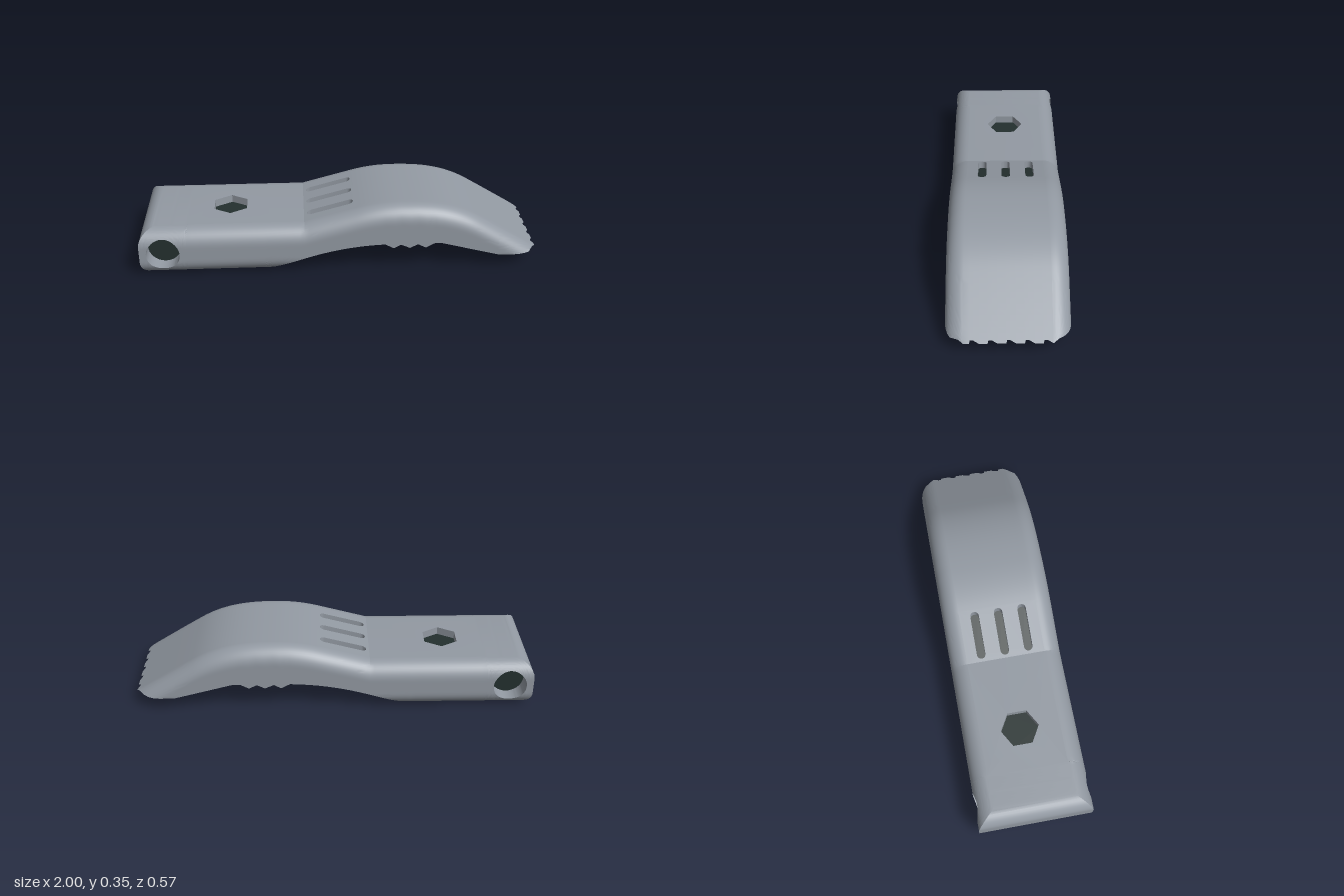
import * as THREE from 'three';
import { toCreasedNormals } from 'three/addons/utils/BufferGeometryUtils.js';

const FLAT = 0.2, R = 0.085;            // half width of the flat top, edge rounding
const X0 = -0.76, BEND = -0.18, RAMP = 0.08, H = 0.248;
const TIP = 0.072, SLOPE = 0.617;
const HOLE = new THREE.Vector2(-0.883, 0.124), HOLE_R = 0.083;

// Piecewise linear lookup in [x, y] pairs
function lookup(table, x) {
  for (let i = 1; i < table.length; i++) {
    const [a, ya] = table[i - 1], [b, yb] = table[i];
    if (x <= b) return ya + (yb - ya) * Math.max(0, (x - a) / (b - a));
  }
  return table[table.length - 1][1];
}

// Top line: flat handle, straight ramp, then a smooth hump down to the tip
const hump = [[RAMP, 0.319, 0.273], [0.3, 0.348, 0], [0.7, 0.257, -0.6], [1, TIP, -SLOPE]];
function topY(x) {
  if (x <= BEND) return H;
  if (x <= RAMP) return H + (x - BEND) * (0.319 - H) / (RAMP - BEND);
  const i = x <= 0.3 ? 0 : x <= 0.7 ? 1 : 2;
  const [a, p, m] = hump[i], [b, q, n] = hump[i + 1];
  const d = b - a, t = (x - a) / d, t2 = t * t, t3 = t2 * t;
  return p * (2 * t3 - 3 * t2 + 1) + q * (3 * t2 - 2 * t3) + d * (m * (t3 - 2 * t2 + t) + n * (t3 - t2));
}

// Underside: flat handle, scoop, cross teeth, slope to the flat tip
const teeth = [[0.22, 0.152], [0.265, 0.128], [0.3, 0.148], [0.345, 0.128], [0.385, 0.148],
  [0.425, 0.128], [0.47, 0.152], [0.51, 0.15], [0.79, TIP + 0.004], [0.8, TIP]];
function bottomY(x) {
  if (x <= -0.385) return 0;
  return x < 0.22 ? 0.152 - 0.377 * (0.25 - x) ** 2 : lookup(teeth, x);
}

// Saw grooves running along the underside of the tip
const grooves = [[-0.285, 0]];
for (let k = -3; k <= 3; k++) {
  const c = -0.0125 + 0.0825 * k;
  grooves.push([c - 0.022, 0], [c + 0.004, 0.008], [c + 0.018, 0.008], [c + 0.022, 0]);
}
grooves.push([0.285, 0]);
const zRow = grooves.map(g => g[0]);
const groove = (x, z) => (x < 0.795 ? 0 : lookup(grooves, z));

// Half width of the rounded bar at height y
function halfWidth(y, top) {
  const d = Math.min(R, Math.max(0, R - Math.min(y, top - y)));
  return FLAT + Math.sqrt(R * R - d * d);
}

const K = 24;
const sideYs = (b, t) => Array.from({ length: K + 1 }, (_, i) => b + (t - b) * (1 - Math.cos(Math.PI * i / K)) / 2);

// Triangle collector
function quad(out, a, b, c, d) {
  for (const [p, q, r] of [[a, b, c], [a, c, d]]) {
    if (p.distanceTo(q) < 1e-6 || q.distanceTo(r) < 1e-6 || r.distanceTo(p) < 1e-6) continue;
    for (const v of [p, q, r]) out.push(v.x, v.y, v.z);
  }
}
function toGeometry(out, crease) {
  const g = new THREE.BufferGeometry();
  g.setAttribute('position', new THREE.Float32BufferAttribute(out, 3));
  return toCreasedNormals(g, crease);
}
const V = (x, y, z) => new THREE.Vector3(x, y, z);

// One closed cross-section: underside, +z side, top, -z side
function section(x) {
  const T = topY(x), B = bottomY(x), end = x === 1, pts = [];
  const add = (y, z) => pts.push(end ? V(1 - groove(1, z) / SLOPE, TIP + groove(1, z), z) : V(x, y, z));
  const edge = s => {
    const y = Math.min(T, B + groove(x, s * halfWidth(B, T)));
    return { y, w: halfWidth(y, T) };
  };
  const L = edge(-1), P = edge(1);
  for (const z of zRow) {
    const c = Math.min(P.w, Math.max(-L.w, z));
    const y = c === P.w ? P.y : c === -L.w ? L.y : Math.min(T, B + groove(x, c));
    add(y, c);
  }
  for (const y of sideYs(P.y, T)) add(y, halfWidth(y, T));
  for (const z of [...zRow].reverse()) add(T, Math.min(FLAT, Math.max(-FLAT, z)));
  for (const y of sideYs(L.y, T).reverse()) add(y, -halfWidth(y, T));
  return pts;
}

function buildBar(out) {
  const breaks = [X0, -0.385, BEND, RAMP, ...teeth.map(t => t[0]), 0.982].sort((a, b) => a - b);
  const xs = [X0];
  for (let i = 1; i < breaks.length; i++) {
    const a = breaks[i - 1], b = breaks[i], n = Math.ceil((b - a) / 0.025 - 1e-6);
    for (let k = 1; k <= n; k++) xs.push(k === n ? b : a + (b - a) * k / n);
  }
  xs.push(1);
  const rings = xs.map(section), n = rings[0].length;
  const topStart = zRow.length + K + 1, topEnd = topStart + zRow.length - 1;
  for (let i = 0; i + 1 < rings.length; i++) {
    for (let j = 0; j < n; j++) {
      // The pierced top panels replace this stretch
      if (xs[i + 1] <= RAMP && j >= topStart && j < topEnd) continue;
      const k = (j + 1) % n;
      quad(out, rings[i][j], rings[i + 1][j], rings[i + 1][k], rings[i][k]);
    }
  }
}

// Rounded butt end with the round hole in each side
function buildButt(out, walls) {
  const r = 0.08, line = sideYs(0, H).map(y => new THREE.Vector2(X0, y));
  const corner = line.length - 1;
  const arc = (cx, cy, a0) => {
    for (let i = 0; i <= 10; i++) {
      const a = a0 + Math.PI / 2 * i / 10;
      line.push(new THREE.Vector2(cx + r * Math.cos(a), cy + r * Math.sin(a)));
    }
  };
  for (let i = 1; i < 10; i++) line.push(new THREE.Vector2(X0 - 0.016 * i, H));
  arc(-1 + r, H - r, Math.PI / 2);
  for (let i = 1; i < 6; i++) line.push(new THREE.Vector2(-1, H - r - (H - 2 * r) * i / 6));
  arc(-1 + r, r, Math.PI);
  for (let i = 9; i > 0; i--) line.push(new THREE.Vector2(X0 - 0.016 * i, 0));
  const n = line.length, M = 14;
  const rim = line.map(p => p.clone().sub(HOLE).setLength(HOLE_R).add(HOLE));
  const at = (p, s) => V(p.x, p.y, s * halfWidth(p.y, H));
  for (let j = 0; j < n; j++) {
    const k = (j + 1) % n;
    if (j >= corner) quad(out, at(line[j], -1), at(line[k], -1), at(line[k], 1), at(line[j], 1));
    for (const s of [1, -1]) {
      const [a, b] = s > 0 ? [j, k] : [k, j];
      for (let m = 0; m < M; m++) {
        const t0 = Math.sin(m / M * Math.PI / 2), t1 = Math.sin((m + 1) / M * Math.PI / 2);
        const p = (i, t) => at(rim[i].clone().lerp(line[i], t), s);
        quad(out, p(a, t0), p(a, t1), p(b, t1), p(b, t0));
      }
      const floor = i => V(rim[i].x, rim[i].y, s * FLAT);
      quad(walls, at(rim[a], s), at(rim[b], s), floor(b), floor(a));
    }
  }
}

// Geometry of a flat shape laid on the top line, lowered by depth
function layOnTop(shape, depth) {
  const g = new THREE.ShapeGeometry(shape).toNonIndexed(), p = g.attributes.position;
  for (let i = 0; i < p.count; i++) {
    const x = p.getX(i), v = p.getY(i);
    p.setXYZ(i, x, topY(x) - depth, -v);
  }
  g.computeVertexNormals();
  return g;
}

export function createModel() {
  const steel = new THREE.MeshStandardMaterial({ color: 0x939aa3 });
  steel.name = 'grey steel';
  const dark = new THREE.MeshStandardMaterial({ color: 0x24302f });
  dark.name = 'dark recess';
  const group = new THREE.Group();
  const add = (name, geometry, material) => {
    const mesh = new THREE.Mesh(geometry, material);
    mesh.name = name;
    group.add(mesh);
    return mesh;
  };
  const body = [], walls = [], DEPTH = 0.04;
  buildBar(body);
  buildButt(body, walls);

  // Outlines of the hexagon socket and the three slots
  const hex = Array.from({ length: 6 }, (_, i) => {
    const a = Math.PI / 6 + i * Math.PI / 3;
    return new THREE.Vector2(-0.553 + 0.096 * Math.cos(a), 0.096 * Math.sin(a));
  });
  const slots = [-0.122, 0, 0.122].map(v => Array.from({ length: 18 }, (_, i) => {
    const right = i < 9, a = -Math.PI / 2 + Math.PI * (right ? i : i - 1) / 8;
    return new THREE.Vector2((right ? 0.046 : -0.143) + 0.022 * Math.cos(a), v + 0.022 * Math.sin(a));
  }));

  // Pierced top panels, recess walls and dark floors
  for (const [a, b, holes, name] of [[X0, BEND, [hex], 'hexSocketFloor'], [BEND, RAMP, slots, 'slotFloor']]) {
    const panel = new THREE.Shape([[a, -FLAT], [b, -FLAT], [b, FLAT], [a, FLAT]].map(p => new THREE.Vector2(...p)));
    for (const hole of holes) {
      panel.holes.push(new THREE.Path(hole));
      const at = (p, d) => V(p.x, topY(p.x) - d, -p.y);
      hole.forEach((p, i) => {
        const q = hole[(i + 1) % hole.length];
        quad(walls, at(p, 0), at(q, 0), at(q, DEPTH), at(p, DEPTH));
      });
      add(name, layOnTop(new THREE.Shape(hole), DEPTH), dark);
    }
    body.push(...layOnTop(panel, 0).attributes.position.array);
  }
  add('body', toGeometry(body, 0.25), steel);
  add('recessWalls', toGeometry(walls, 0.5), steel);

  // Dark discs inside the round side holes
  for (const s of [1, -1]) {
    const disc = add('sideHoleFloor', new THREE.CircleGeometry(HOLE_R, 48), dark);
    disc.position.set(HOLE.x, HOLE.y, s * FLAT);
    if (s < 0) disc.rotation.y = Math.PI;
  }
  return group;
}
